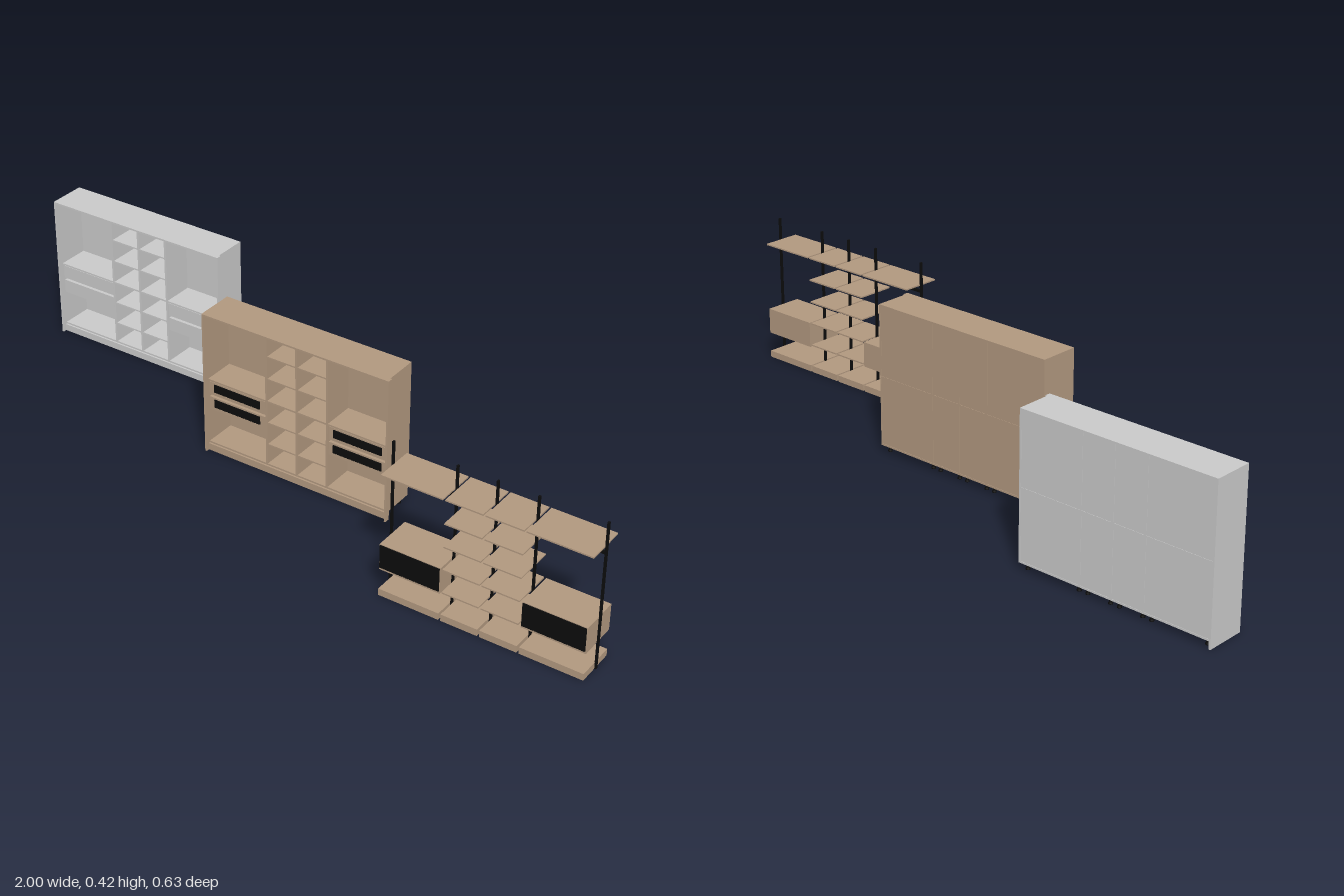
import * as THREE from 'three';

const mat = (name, color) => {
  const m = new THREE.MeshStandardMaterial({ color });
  m.name = name;
  return m;
};

// Box given by its minimum and maximum on each axis
function slab(parent, name, material, x0, x1, y0, y1, z0, z1) {
  const mesh = new THREE.Mesh(new THREE.BoxGeometry(x1 - x0, y1 - y0, z1 - z0), material);
  mesh.position.set((x0 + x1) / 2, (y0 + y1) / 2, (z0 + z1) / 2);
  mesh.name = name;
  parent.add(mesh);
  return mesh;
}

// Fluted front: a thin backing plate with narrow upright ribs
function flutedFront(parent, name, material, x0, x1, y0, y1, z, count) {
  const g = new THREE.Group();
  g.name = name;
  slab(g, 'frontPlate', material, x0, x1, y0, y1, z - 0.001, z + 0.001);
  const pitch = (x1 - x0) / count;
  for (let i = 0; i < count; i++) {
    const x = x0 + i * pitch;
    slab(g, 'frontRib', material, x, x + pitch * 0.7, y0, y1, z + 0.001, z + 0.002);
  }
  parent.add(g);
}

const SHELVES = [0.083, 0.149, 0.215, 0.281, 0.347];

// Closed-back wall cabinet made of four bays on adjustable feet
function cabinet(name, body, black, accent) {
  const g = new THREE.Group();
  g.name = name;
  const T = 0.005, BACK = -0.055, FRONT = 0.04, EDGE = 0.055;

  // Outer shell
  slab(g, 'topPanel', body, -0.285, 0.28, 0.412, 0.417, BACK, EDGE);
  slab(g, 'topPanelFrontEnd', body, 0.28, 0.285, 0.412, 0.417, FRONT, EDGE);
  slab(g, 'leftEndPanel', body, -0.285, -0.28, 0, 0.412, BACK, EDGE);
  slab(g, 'rightSidePanel', body, 0.275, 0.28, 0.02, 0.412, BACK, FRONT);
  slab(g, 'rightFrontStrip', body, 0.28, 0.285, 0, 0.412, FRONT, EDGE);
  slab(g, 'plinth', body, -0.28, 0.28, 0, 0.02, FRONT, FRONT + T);
  slab(g, 'bottomPanel', body, -0.28, 0.275, 0.02, 0.025, BACK, FRONT);
  for (const x of [-0.094, 0, 0.094]) {
    slab(g, 'divider', body, x - 0.003, x + 0.003, 0.025, 0.412, BACK, FRONT);
  }

  // Back panels with narrow seams
  const bays = [[-0.28, -0.097], [-0.091, -0.003], [0.003, 0.091], [0.097, 0.275]];
  for (const [x0, x1] of bays) {
    slab(g, 'lowerBack', body, x0, x1, 0.025, 0.213, BACK + 0.001, BACK + 0.004);
    slab(g, 'upperBack', body, x0, x1, 0.217, 0.412, BACK + 0.001, BACK + 0.004);
    slab(g, 'middleShelf', body, x0, x1, 0.2125, 0.2175, BACK, FRONT);
  }

  // Small shelves in the narrow bays
  for (const [x0, x1] of bays.slice(1, 3)) {
    for (const y of SHELVES) {
      if (y !== 0.215) slab(g, 'smallShelf', body, x0, x1, y - 0.002, y + 0.002, BACK + 0.004, FRONT - 0.002);
    }
  }

  // Drawers and hanging rail in the wide bays
  for (const [x0, x1] of [bays[0], bays[3]]) {
    const c = (x0 + x1) / 2;
    slab(g, 'hangingRail', accent, x0, x1, 0.388, 0.398, -0.005, 0.005);
    for (const y of [0.125, 0.171]) {
      slab(g, 'drawer', body, x0 + 0.002, x1 - 0.002, y, y + 0.039, BACK + 0.004, FRONT - 0.002);
      if (accent !== body) {
        flutedFront(g, 'drawerFront', accent, c - 0.073, c + 0.073, y + 0.011, y + 0.034, FRONT - 0.001, 24);
      }
    }
  }

  // Waisted feet, a front and a back one near each bay edge
  const profile = [[0, 0], [0.006, 0], [0.006, 0.003], [0.004, 0.006], [0.004, 0.014], [0.006, 0.017], [0.006, 0.02], [0, 0.02]]
    .map(([r, y]) => new THREE.Vector2(r, y));
  const footGeometry = new THREE.LatheGeometry(profile, 12);
  for (const x of [0.265, 0.107, 0.081, 0.013]) {
    for (const s of [-1, 1]) {
      for (const z of [0.032, -0.037]) {
        const foot = new THREE.Mesh(footGeometry, black);
        foot.name = 'foot';
        foot.position.set(s * x, 0, z);
        g.add(foot);
      }
    }
  }
  return g;
}

// Open shelving hung on five upright poles
function openShelving(body, black) {
  const g = new THREE.Group();
  g.name = 'openShelving';
  const D = 0.056;
  for (const x of [-0.282, -0.107, 0, 0.107, 0.282]) {
    slab(g, 'pole', black, x - 0.0025, x + 0.0025, 0, 0.412, -0.0035, 0.0035);
  }
  const bays = [[-0.28, -0.11], [-0.104, -0.003], [0.003, 0.104], [0.11, 0.28]];
  bays.forEach(([x0, x1], i) => {
    slab(g, 'baseBoard', body, x0, x1, 0, 0.019, -D, D);
    if (i === 1 || i === 2) {
      for (const y of SHELVES) slab(g, 'smallShelf', body, x0, x1, y - 0.002, y + 0.002, -D, D);
    } else {
      slab(g, 'topShelf', body, x0, x1, 0.345, 0.349, -D, D);
      slab(g, 'hangingRail', black, x0, x1, 0.325, 0.332, -0.0035, 0.0035);
      slab(g, 'storageBox', body, x0, x1, 0.076, 0.15, -D, D - 0.002);
      flutedFront(g, 'storageBoxFront', black, x0 + 0.002, x1 - 0.002, 0.083, 0.148, D - 0.001, 30);
    }
  });
  return g;
}

export function createModel() {
  const grey = mat('light grey', 0xc9c9c9);
  const wood = mat('light brown wood', 0xb1987f);
  const black = mat('black', 0x0c0c0c);

  const model = new THREE.Group();
  model.name = 'wallUnits';
  const greyUnit = cabinet('greyCabinet', grey, black, grey);
  greyUnit.position.set(-0.715, 0, -0.26);
  const woodUnit = cabinet('woodCabinet', wood, black, black);
  const openUnit = openShelving(wood, black);
  openUnit.position.set(0.715, 0, 0.26);
  model.add(greyUnit, woodUnit, openUnit);
  return model;
}
